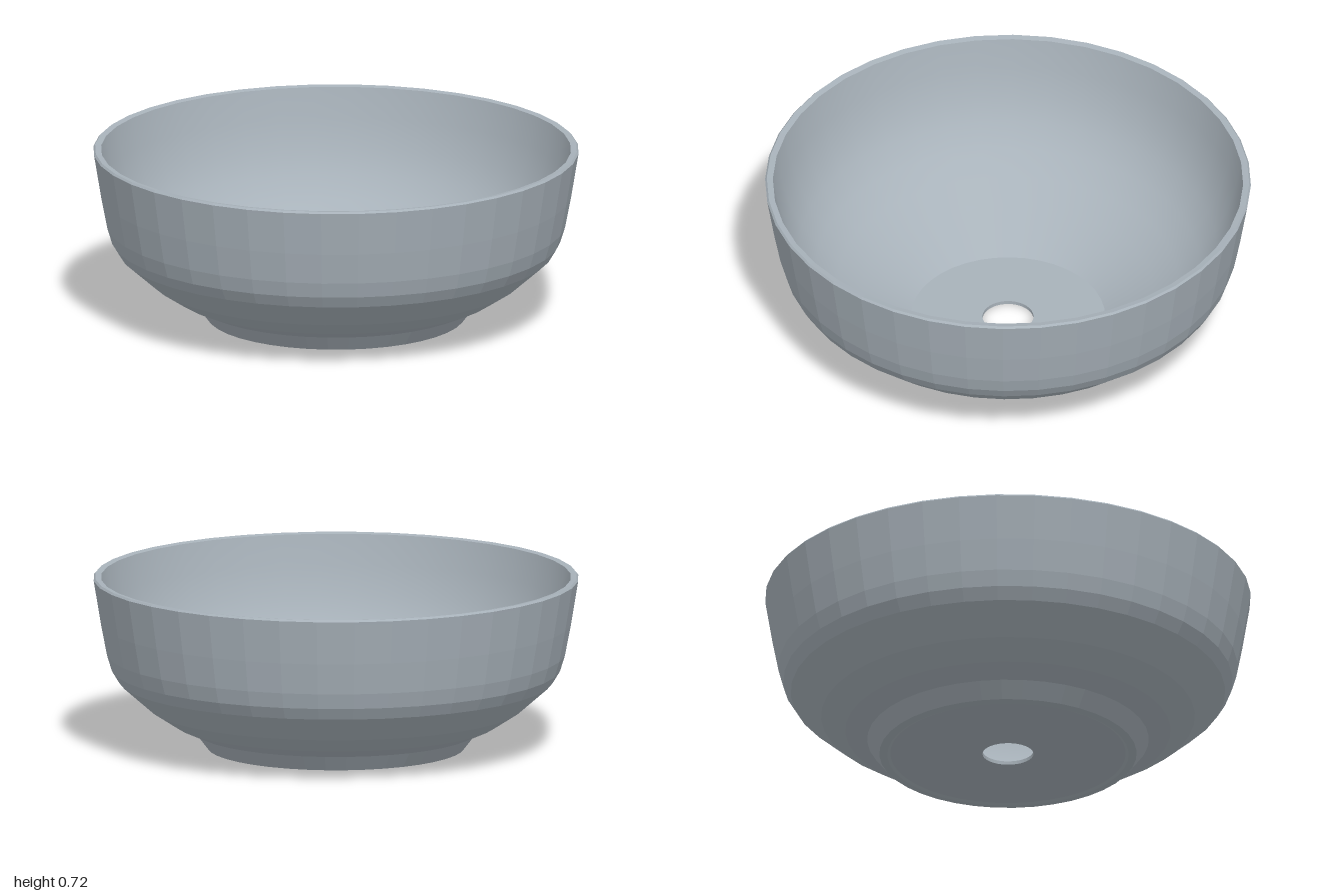
import * as THREE from 'three';

export function createModel() {
  const group = new THREE.Group();
  const ceramic = new THREE.MeshStandardMaterial({ color: 0xa8b2ba });
  ceramic.name = 'blue grey ceramic';
  const SIDES = 40;

  // Revolve a [radius, height] profile, faceted or smooth
  const addLathe = (name, profile, faceted) => {
    const points = profile.map(([r, y]) => new THREE.Vector2(r, y));
    let geometry = new THREE.LatheGeometry(points, SIDES);
    if (faceted) {
      geometry = geometry.toNonIndexed();
      geometry.computeVertexNormals();
    }
    const mesh = new THREE.Mesh(geometry, ceramic);
    mesh.name = name;
    group.add(mesh);
  };

  // Underside with its foot ring
  addLathe('foot', [
    [0.105, 0.003], [0.485, 0.006], [0.497, 0], [0.53, 0.005], [0.58, 0.07],
  ], true);

  // Faceted outer wall and thin lip
  addLathe('outerWall', [
    [0.58, 0.07], [0.67, 0.11], [0.77, 0.175], [0.895, 0.285],
    [0.925, 0.335], [0.945, 0.40], [0.97, 0.53], [0.998, 0.70],
    [1.0, 0.712], [0.993, 0.72], [0.968, 0.716],
  ], true);

  // Inner wall, an even slope that curves up to the lip
  addLathe('innerWall', [
    [0.968, 0.716], [0.945, 0.59], [0.91, 0.47], [0.86, 0.37],
    [0.79, 0.28], [0.70, 0.205], [0.60, 0.14], [0.50, 0.08], [0.40, 0.02],
  ], false);

  // Flat floor and the edge of the drain hole
  addLathe('floor', [[0.40, 0.02], [0.105, 0.018], [0.105, 0.003]], true);

  return group;
}
